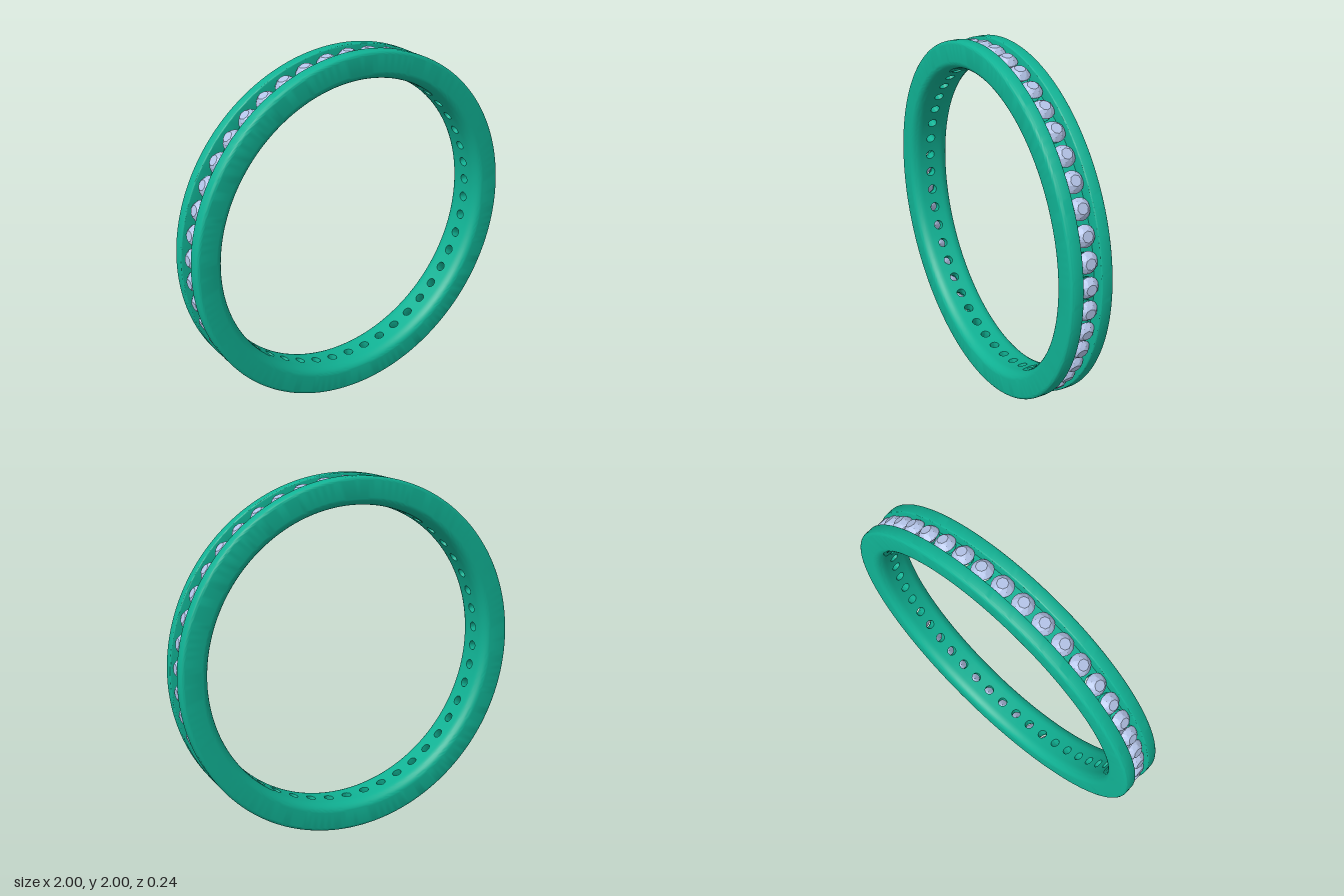
import * as THREE from 'three';
import { mergeGeometries, toCreasedNormals } from 'three/addons/utils/BufferGeometryUtils.js';
import { ConvexGeometry } from 'three/addons/geometries/ConvexGeometry.js';

const STONES = 46;
const STEP = (Math.PI * 2) / STONES;
const SIDE = 6;                       // segments along each side of a drilled cell
const R_IN = 0.845, R_FLOOR = 0.93, R_OUT = 1;
const Z_RAIL = 0.05, Z_IN = 0.06, Z_FACE = 0.12;

// One rail: channel wall, rounded outer edges, flat face, soft inner edge
function railGeometry() {
  const pts = [new THREE.Vector2(R_FLOOR, Z_RAIL)];
  const arc = (cr, cz, rr, rz, from, to, n) => {
    for (let i = 0; i <= n; i++) {
      const t = from + ((to - from) * i) / n;
      pts.push(new THREE.Vector2(cr + rr * Math.cos(t), cz + rz * Math.sin(t)));
    }
  };
  arc(R_OUT - 0.006, Z_RAIL + 0.006, 0.006, 0.006, -Math.PI / 2, 0, 3);
  arc(R_OUT - 0.02, Z_FACE - 0.02, 0.02, 0.02, 0, Math.PI / 2, 6);
  arc(R_IN + 0.045, Z_IN, 0.045, Z_FACE - Z_IN, Math.PI / 2, Math.PI, 9);
  return new THREE.LatheGeometry(pts, STONES * SIDE).rotateX(Math.PI / 2);
}

// One cell of the band between the rails, drilled through with a flared seat
function cellGeometry() {
  const n = SIDE * 4;
  const corners = [[1, -1], [1, 1], [-1, 1], [-1, -1]];
  const square = (r, halfZ) => (i) => {
    const k = Math.floor(i / SIDE), t = (i % SIDE) / SIDE;
    const [a, b] = [corners[k], corners[(k + 1) % 4]];
    return [r, (a[0] + (b[0] - a[0]) * t) * STEP / 2, (a[1] + (b[1] - a[1]) * t) * halfZ];
  };
  const circle = (r, rad) => (i) => {
    const t = -Math.PI / 4 + (i / n) * Math.PI * 2;
    return [r, (rad * Math.cos(t)) / r, rad * Math.sin(t)];
  };
  const rings = [
    square(R_IN, Z_IN), circle(R_IN, 0.027), circle(0.89, 0.027),
    circle(R_FLOOR, 0.047), square(R_FLOOR, Z_RAIL),
  ];
  const pos = [], index = [];
  rings.forEach((ring, j) => {
    for (let i = 0; i < n; i++) {
      const [r, a, z] = ring(i);
      pos.push(r * Math.sin(a), r * Math.cos(a), z);
      if (j === rings.length - 1) continue;
      const p = j * n + i, q = j * n + ((i + 1) % n);
      index.push(p, q, p + n, q, q + n, p + n);
    }
  });
  const g = new THREE.BufferGeometry();
  g.setAttribute('position', new THREE.Float32BufferAttribute(pos, 3));
  g.setIndex(index);
  return g;
}

// Round brilliant: table, crown, thin girdle, pointed pavilion (y is outwards)
function stoneGeometry() {
  const pts = [new THREE.Vector3(0, -0.055, 0)];
  const ring = (count, rad, y, turn) => {
    for (let i = 0; i < count; i++) {
      const t = ((i + turn) / count) * Math.PI * 2;
      pts.push(new THREE.Vector3(rad * Math.cos(t), y, rad * Math.sin(t)));
    }
  };
  ring(8, 0.029, 0.034, 0);
  ring(8, 0.044, 0.0215, 0.5);
  ring(16, 0.057, 0.003, 0);
  ring(16, 0.057, -0.003, 0);
  return new ConvexGeometry(pts);
}

export function createModel() {
  const model = new THREE.Group();
  model.name = 'ring';
  const metal = new THREE.MeshStandardMaterial({ color: 0x10b294 });
  const gem = new THREE.MeshStandardMaterial({ color: 0xb4c4e8, flatShading: true });

  // Band: two mirrored rails joined by the drilled cells
  const rail = railGeometry();
  const parts = [rail, rail.clone().rotateY(Math.PI)];
  const cell = cellGeometry();
  for (let i = 0; i < STONES; i++) parts.push(cell.clone().rotateZ(-i * STEP));
  for (const g of parts) {
    g.deleteAttribute('uv');
    g.deleteAttribute('normal');
  }
  const band = new THREE.Mesh(toCreasedNormals(mergeGeometries(parts), 0.55), metal);
  band.name = 'band';
  band.position.y = 1;
  model.add(band);

  // Stones set all the way round in the channel
  const stones = new THREE.Group();
  stones.name = 'stones';
  stones.position.y = 1;
  const stoneGeo = stoneGeometry();
  for (let i = 0; i < STONES; i++) {
    const a = i * STEP;
    const stone = new THREE.Mesh(stoneGeo, gem);
    stone.name = 'stone';
    stone.position.set(0.957 * Math.sin(a), 0.957 * Math.cos(a), 0);
    stone.rotation.z = -a;
    stones.add(stone);
  }
  model.add(stones);
  return model;
}
